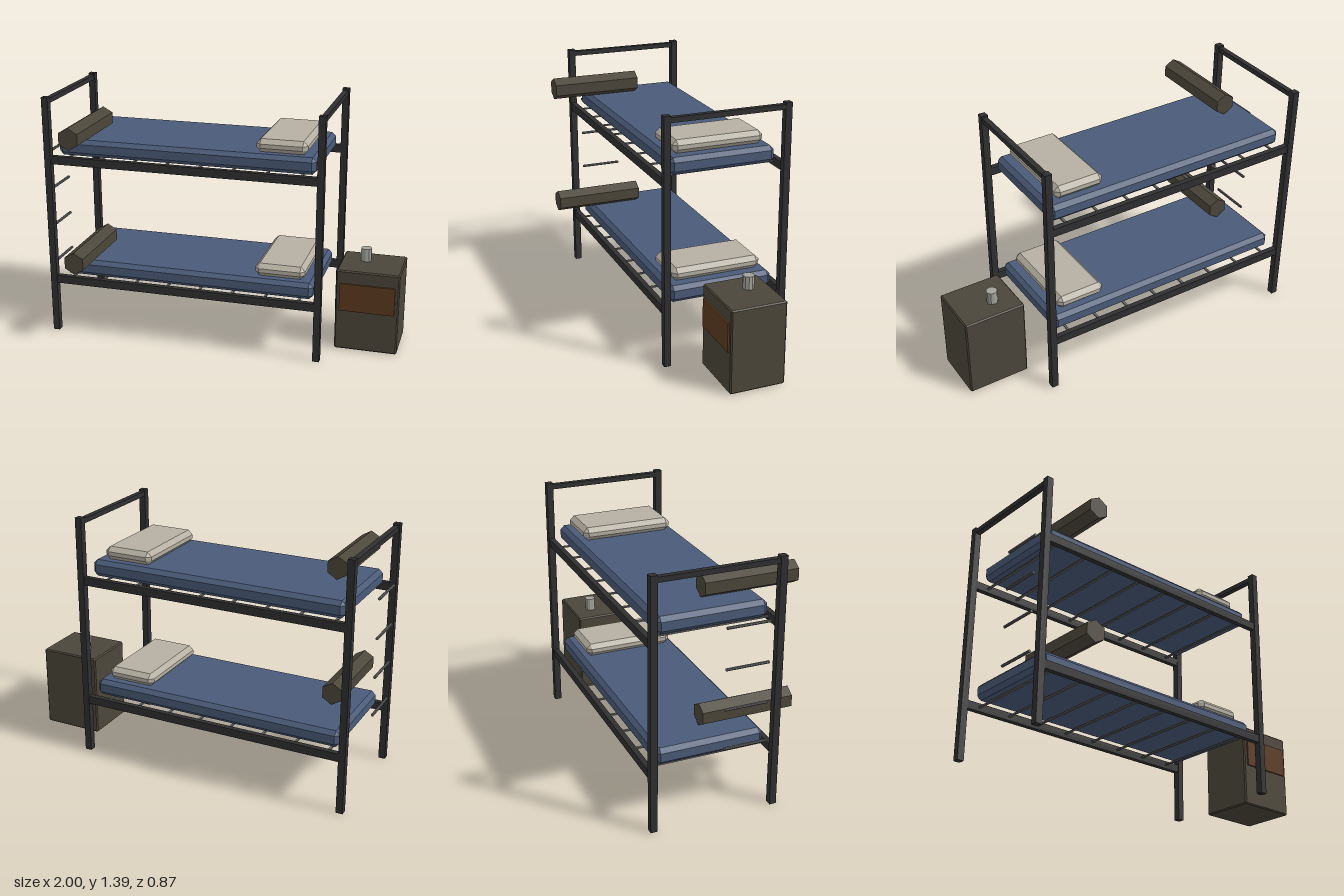
import * as THREE from 'three';
import { ConvexGeometry } from 'three/addons/geometries/ConvexGeometry.js';

const mat = (name, color) => {
  const m = new THREE.MeshStandardMaterial({ color, flatShading: true });
  m.name = name;
  return m;
};

export function createModel() {
  const steel = mat('dark steel', 0x2f2f31);
  const wire = mat('grey metal', 0x666866);
  const blue = mat('mattress blue', 0x4a5a78);
  const linen = mat('pillow linen', 0xb5b0a2);
  const olive = mat('olive drab', 0x4b463a);
  const wood = mat('drawer brown', 0x5c3a20);
  const tin = mat('tin', 0xa3a39b);

  const model = new THREE.Group();
  model.name = 'bunkBed';

  const add = (name, geometry, material, x, y, z) => {
    const mesh = new THREE.Mesh(geometry, material);
    mesh.name = name;
    mesh.position.set(x, y, z);
    model.add(mesh);
    return mesh;
  };
  const box = (w, h, d) => new THREE.BoxGeometry(w, h, d);

  // Box with every edge cut off by c
  const chamferBox = (w, h, d, c) => {
    const points = [];
    for (const i of [-1, 1]) for (const j of [-1, 1]) for (const k of [-1, 1]) {
      const x = i * w / 2, y = j * h / 2, z = k * d / 2;
      points.push(
        new THREE.Vector3(x, y - j * c, z - k * c),
        new THREE.Vector3(x - i * c, y, z - k * c),
        new THREE.Vector3(x - i * c, y - j * c, z));
    }
    return new ConvexGeometry(points);
  };

  const xs = [-0.972, 0.579], zs = [0.259, -0.416];
  const midX = (xs[0] + xs[1]) / 2, midZ = (zs[0] + zs[1]) / 2;
  const spanX = xs[1] - xs[0], spanZ = zs[0] - zs[1];

  // Posts and top end rails
  for (const x of xs) {
    for (const z of zs) add('post', box(0.038, 1.392, 0.038), steel, x, 0.696, z);
    add('endRail', box(0.03, 0.028, spanZ), steel, x, 1.368, midZ);
  }

  // Two bunks, each with rails, slats and bedding
  for (const base of [0.32, 1.036]) {
    for (const z of zs) add('sideRail', box(spanX, 0.046, 0.03), steel, midX, base, z);
    for (let i = 0; i < 8; i++) {
      add('slat', box(0.013, 0.008, spanZ), wire, -0.878 + i * 0.191, base, midZ);
    }
    add('mattress', chamferBox(1.468, 0.094, 0.596, 0.023), blue, -0.194, base + 0.063, -0.078);
    add('pillow', chamferBox(0.284, 0.073, 0.515, 0.025), linen, 0.342, base + 0.146, -0.078);
    const roll = new THREE.CylinderGeometry(0.063, 0.063, 0.515, 6).rotateX(Math.PI / 2);
    add('blanketRoll', roll, olive, -0.771, base + 0.175, 0.18);
  }

  // Ladder rungs at the foot end
  for (let i = 0; i < 4; i++) {
    const rung = new THREE.CylinderGeometry(0.008, 0.008, 0.236, 8).rotateX(Math.PI / 2);
    add('rung', rung, wire, -0.992, 0.4 + i * 0.222, 0.08);
  }

  // Bedside cabinet with drawer front and cup
  add('cabinet', chamferBox(0.353, 0.474, 0.313, 0.007), olive, 0.82, 0.24, -0.078);
  add('drawerFront', box(0.31, 0.162, 0.012), wood, 0.82, 0.321, 0.082);
  add('cup', new THREE.CylinderGeometry(0.031, 0.031, 0.075, 10), tin, 0.778, 0.513, -0.118);

  return model;
}
